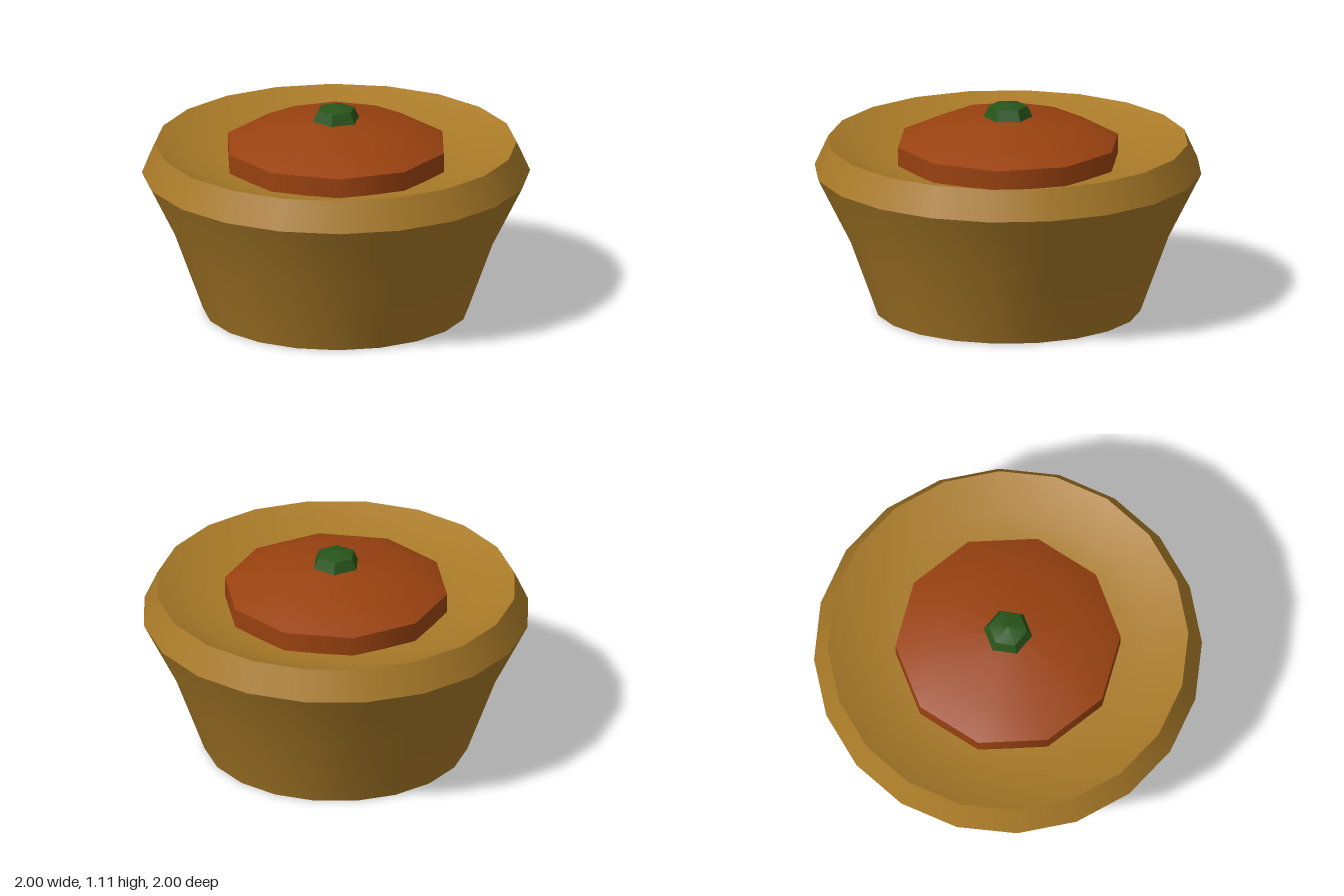
import * as THREE from 'three';

const crust = new THREE.MeshStandardMaterial({ color: 0xa97a28 });
crust.name = 'golden brown crust';
const filling = new THREE.MeshStandardMaterial({ color: 0x9a4210 });
filling.name = 'orange filling';
const leaf = new THREE.MeshStandardMaterial({ color: 0x27541a });
leaf.name = 'dark green';

// One smooth turned band; separate bands keep the edges between them sharp.
function band(name, profile, sides, material, start = 0) {
  const points = profile.map(([r, y]) => new THREE.Vector2(r, y));
  const mesh = new THREE.Mesh(new THREE.LatheGeometry(points, sides, start), material);
  mesh.name = name;
  return mesh;
}

function part(name, ...meshes) {
  const group = new THREE.Group();
  group.name = name;
  group.add(...meshes);
  return group;
}

export function createModel() {
  const turn = Math.PI / 2; // puts a corner on the x axis

  // Flared bowl with a bevelled rim and a dished top
  const bowl = part('bowl',
    band('bowlBase', [[0, 0], [0.685, 0]], 20, crust),
    band('bowlWall', [[0.685, 0], [0.83, 0.4], [1, 0.74]], 20, crust),
    band('bowlRim', [[1, 0.74], [0.93, 0.895]], 20, crust),
    band('bowlDish', [[0.93, 0.895], [0.74, 0.81], [0.52, 0.785], [0, 0.78]], 20, crust));

  // Ten-sided domed centre
  const dome = part('dome',
    band('domeSide', [[0.58, 0.77], [0.58, 0.893]], 10, filling, turn),
    band('domeTop', [[0.58, 0.893], [0.36, 0.995], [0, 1.035]], 10, filling, turn));

  // Six-sided knob: faceted side, low pointed cap
  const sideGeometry = new THREE.CylinderGeometry(0.1, 0.13, 0.065, 6, 1, true, turn).toNonIndexed();
  sideGeometry.computeVertexNormals();
  const knobSide = new THREE.Mesh(sideGeometry, leaf);
  knobSide.name = 'knobSide';
  knobSide.position.y = 1.0455;
  const knob = part('knob',
    knobSide,
    band('knobCap', [[0.1, 1.078], [0, 1.105]], 6, leaf, turn));

  return part('filledBowl', bowl, dome, knob);
}
